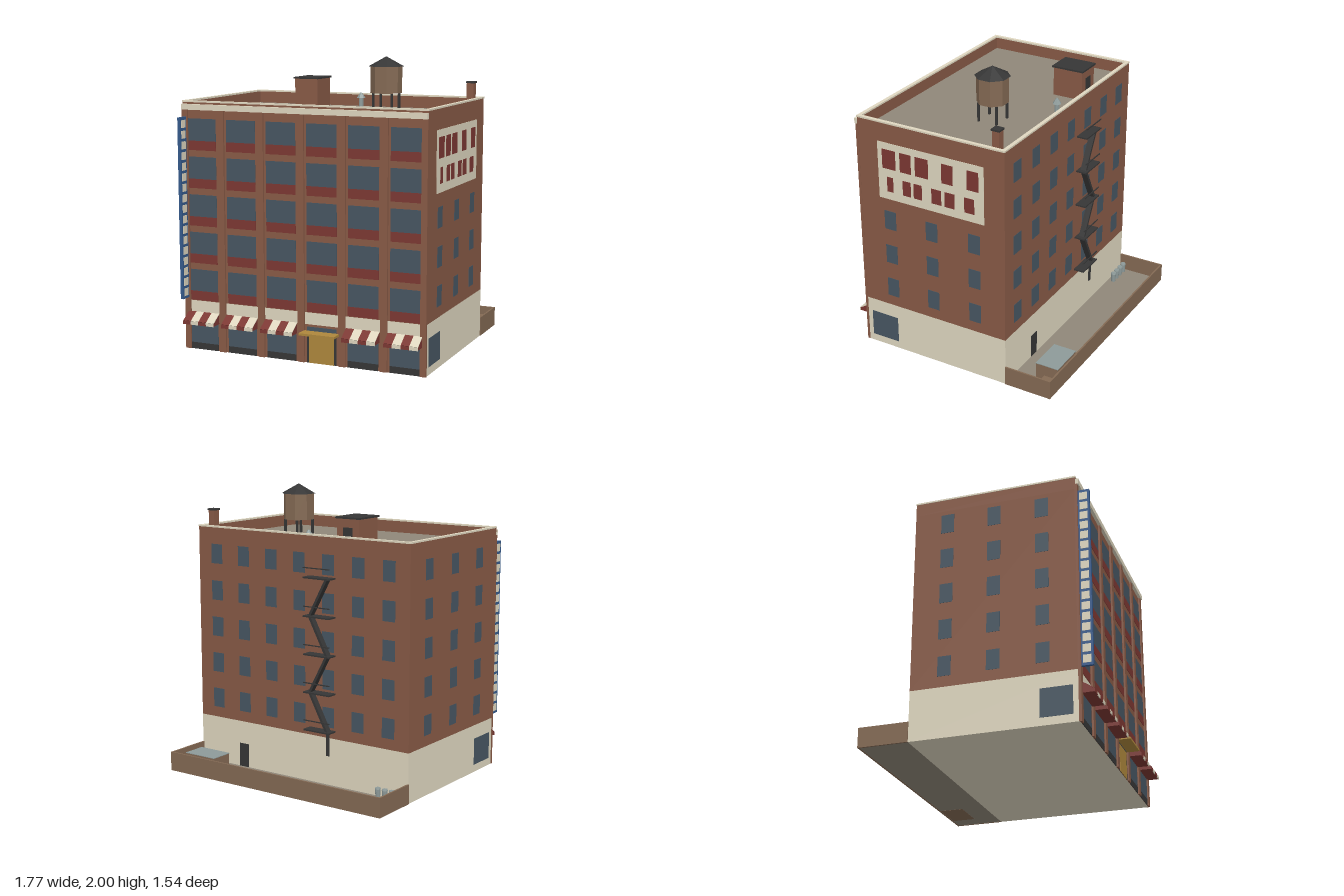
import * as THREE from 'three';

const mat = (name, color) => new THREE.MeshStandardMaterial({ name, color });

export function createModel() {
  const brick = mat('brick', 0x885a46);
  const red = mat('dark red', 0x7c3833);
  const cream = mat('cream', 0xdfd7c0);
  const glass = mat('window glass', 0x475662);
  const roofGrey = mat('roof grey', 0x8f8779);
  const dark = mat('dark metal', 0x363636);
  const blue = mat('sign blue', 0x355a8c);
  const gold = mat('door gold', 0xae873c);
  const wood = mat('weathered wood', 0x846a54);
  const steel = mat('pale steel', 0x8d9a99);

  const model = new THREE.Group();
  model.name = 'cornerBuilding';
  const group = (name) => {
    const g = new THREE.Group();
    g.name = name;
    model.add(g);
    return g;
  };
  const add = (parent, name, geo, m) => {
    const mesh = new THREE.Mesh(geo, m);
    mesh.name = name;
    parent.add(mesh);
    return mesh;
  };
  // Box given by its extents
  const box = (parent, name, m, x0, x1, y0, y1, z0, z1) => {
    const mesh = add(parent, name, new THREE.BoxGeometry(Math.abs(x1 - x0), y1 - y0, Math.abs(z1 - z0)), m);
    mesh.position.set((x0 + x1) / 2, (y0 + y1) / 2, (z0 + z1) / 2);
    return mesh;
  };
  // Flat sided cylinder between two heights
  const drum = (parent, name, m, rTop, rBottom, y0, y1, x, z, sides, turn = 0) => {
    const geo = new THREE.CylinderGeometry(rTop, rBottom, y1 - y0, sides);
    geo.rotateY(turn);
    const mesh = add(parent, name, geo.toNonIndexed(), m);
    mesh.geometry.computeVertexNormals();
    mesh.position.set(x, (y0 + y1) / 2, z);
    return mesh;
  };
  const W = 0.88, BACK = -0.431, FRONT = 0.68, ROOF = 1.62, PITCH = 0.2585;

  // Main body
  const body = group('body');
  box(body, 'groundFloor', cream, -W, W, 0, 0.341, BACK, FRONT);
  box(body, 'upperFloors', brick, -W, W, 0.341, ROOF - 0.004, BACK, FRONT);
  box(body, 'roofDeck', roofGrey, -W + 0.01, W - 0.01, ROOF - 0.004, ROOF, BACK + 0.01, FRONT - 0.01);

  // Parapet and its coping
  const rim = (name, m, t, o, y0, y1) => {
    for (const s of [-1, 1]) box(body, name, m, s * (W + o), s * (W + o - t), y0, y1, BACK - o, FRONT + o);
    box(body, name, m, -W, W, y0, y1, BACK - o, BACK - o + t);
    box(body, name, m, -W, W, y0, y1, FRONT + o - t, FRONT + o);
  };
  rim('parapet', brick, 0.022, 0, ROOF - 0.004, 1.702);
  rim('coping', cream, 0.026, 0.003, 1.702, 1.713);
  box(body, 'cornice', cream, -W, W, 1.652, 1.69, FRONT, 0.702);

  // Front piers
  const facade = group('frontFacade');
  for (let i = -3; i <= 3; i++) {
    const x = Math.abs(i) === 3 ? Math.sign(i) * 0.861 : i * 0.295;
    const h = Math.abs(i) === 3 ? 0.021 : 0.024;
    box(facade, 'pier', brick, x - h, x + h, 0, 1.652, FRONT - 0.005, 0.693);
  }

  // Front bays: windows, spandrels and shopfronts
  const awnings = group('awnings');
  for (let i = 0; i < 6; i++) {
    const x = (i - 2.5) * 0.295, h = 0.108;
    const xa = Math.max(x - h, -0.84), xb = Math.min(x + h, 0.84);
    for (let f = 0; f < 5; f++) {
      const y = 0.345 + f * PITCH;
      box(facade, 'spandrel', red, xa, xb, y, y + 0.064, FRONT, FRONT + 0.003);
      box(facade, 'frontWindow', glass, xa, xb, y + 0.064, y + 0.214, FRONT, FRONT + 0.002);
    }
    box(facade, 'shopSurround', brick, x - 0.123, x + 0.123, 0, 0.26, FRONT, FRONT + 0.002);
    if (i === 3) {
      // Entrance
      box(facade, 'entranceFrame', dark, x - h, x + h, 0, 0.2, FRONT, FRONT + 0.004);
      box(facade, 'transom', glass, x - h, x + h, 0.2, 0.245, FRONT, FRONT + 0.004);
      box(facade, 'entranceDoor', gold, x - 0.09, x + 0.09, 0, 0.19, FRONT, FRONT + 0.007);
      box(facade, 'entranceCanopy', gold, x - 0.128, x + 0.128, 0.203, 0.218, FRONT, 0.77);
      continue;
    }
    box(facade, 'shopBase', dark, xa, xb, 0, 0.045, FRONT, FRONT + 0.005);
    box(facade, 'shopWindow', glass, xa, xb, 0.045, 0.25, FRONT, FRONT + 0.004);

    // Awning: wedge with striped slope and valance
    const wedge = new THREE.Shape([[-0.688, 0.262], [-0.766, 0.212], [-0.766, 0.192], [-0.688, 0.192]]
      .map(([a, b]) => new THREE.Vector2(a, b)));
    const geo = new THREE.ExtrudeGeometry(wedge, { depth: 0.234, bevelEnabled: false });
    geo.rotateY(Math.PI / 2);
    add(awnings, 'awningBody', geo, red).position.x = x - 0.117;
    for (let k = 0; k < 4; k++) {
      const m = k % 2 ? cream : red, x0 = x - 0.118 + k * 0.059;
      box(awnings, 'valanceStripe', m, x0, x0 + 0.059, 0.19, 0.213, 0.766, 0.771);
      const slope = box(awnings, 'slopeStripe', m, x0, x0 + 0.059, 0.236, 0.241, 0.681, 0.774);
      slope.rotation.x = Math.atan2(0.05, 0.078);
    }
  }

  // Side windows: five rows on one side, three below the painted wall on the other
  const sides = group('sideWalls');
  const sidePlate = (name, m, s, z0, z1, y0, y1, t = 0.002) =>
    box(sides, name, m, s * (W - 0.002), s * (W + t), y0, y1, z0, z1);
  for (const s of [-1, 1]) {
    for (const z of [0.45, 0.124, -0.202]) {
      for (let f = 0; f < (s > 0 ? 3 : 5); f++) {
        sidePlate('sideWindow', glass, s, z - 0.045, z + 0.045, 0.415 + f * PITCH, 0.552 + f * PITCH);
      }
    }
    sidePlate('sideShopWindow', glass, s, 0.428, 0.64, 0.053, 0.243);
  }
  sidePlate('paintedPanel', cream, 1, -0.281, 0.527, 1.16, 1.568);
  for (const [a, b] of [[0.388, 0.492], [0.268, 0.354], [0.135, 0.236], [-0.051, 0.034], [-0.242, -0.156]])
    sidePlate('paintedBlock', red, 1, a, b, 1.383, 1.52, 0.004);
  for (const [a, b] of [[0.412, 0.46], [0.274, 0.337], [0.188, 0.252], [0.04, 0.114], [-0.061, 0.013], [-0.209, -0.135]])
    sidePlate('paintedBlock', red, 1, a, b, 1.218, 1.324, 0.004);

  // Back windows and door
  const rear = group('backWall');
  for (let c = -3; c <= 3; c++) for (let f = 0; f < 5; f++) {
    const x = c * 0.24, y = 0.415 + f * PITCH;
    box(rear, 'backWindow', glass, x - 0.048, x + 0.048, y, y + 0.137, BACK - 0.002, BACK);
  }
  box(rear, 'backDoor', dark, 0.455, 0.535, 0.01, 0.18, BACK - 0.002, BACK);

  // Fire escape: landings, rails and zigzag flights
  const escape = group('fireEscape');
  const landing = (f) => 0.393 + f * 0.2595;
  for (let f = 0; f < 5; f++) {
    const y = landing(f);
    box(escape, 'landing', dark, -0.3, -0.087, y - 0.005, y + 0.005, -0.508, BACK);
    box(escape, 'handrail', dark, -0.3, -0.087, y + 0.063, y + 0.07, -0.506, -0.5);
    if (f === 4) continue;
    const dx = f % 2 ? -0.14 : 0.14, dy = landing(f + 1) - y;
    const flight = add(escape, 'flight', new THREE.BoxGeometry(Math.hypot(dx, dy), 0.018, 0.042), dark);
    flight.position.set(-0.195, y + dy / 2, -0.469);
    flight.rotation.z = Math.atan2(dy, dx);
  }
  box(escape, 'dropLadder', dark, -0.275, -0.25, 0.228, landing(0), -0.473, -0.465);

  // Blade sign with lit cells on both faces
  const sign = group('bladeSign');
  box(sign, 'signBoard', blue, -0.871, -0.85, 0.362, 1.604, 0.69, 0.77);
  for (let k = 0; k < 17; k++) {
    const y = 0.38 + k * 0.072;
    box(sign, 'signCell', cream, -0.873, -0.848, y, y + 0.053, 0.704, 0.757);
  }

  // Water tank
  const tank = group('waterTank'), tx = 0.317, tz = -0.011, turn = Math.PI / 8;
  drum(tank, 'tankBarrel', wood, 0.109, 0.109, 1.752, 1.935, tx, tz, 8, turn);
  drum(tank, 'tankRoof', dark, 0.001, 0.121, 1.933, 2, tx, tz, 8, turn);
  for (const a of [-1, 1]) for (const b of [-1, 1]) {
    const x = tx + a * 0.068, z = tz + b * 0.068;
    box(tank, 'tankLeg', dark, x - 0.007, x + 0.007, ROOF, 1.752, z - 0.007, z + 0.007);
  }

  // Stair house, chimney and roof vent
  const roof = group('rooftop');
  box(roof, 'stairHouse', brick, -0.442, -0.266, ROOF, 1.822, -0.368, -0.15);
  box(roof, 'stairHouseRoof', dark, -0.45, -0.258, 1.822, 1.834, -0.377, -0.141);
  box(roof, 'stairHouseDoor', dark, -0.39, -0.318, ROOF, 1.765, -0.371, -0.368);
  box(roof, 'chimney', brick, 0.791, 0.841, ROOF, 1.812, -0.371, -0.321);
  box(roof, 'chimneyCap', dark, 0.786, 0.847, 1.812, 1.824, -0.377, -0.315);
  drum(roof, 'ventPipe', steel, 0.018, 0.018, ROOF, 1.69, 0, -0.32, 8);
  drum(roof, 'ventHood', steel, 0.006, 0.032, 1.685, 1.724, 0, -0.32, 6);

  // Rear yard with wall, bin, crate and cans
  const yard = group('rearYard');
  box(yard, 'yardFloor', roofGrey, -W, W, 0.001, 0.012, -0.765, BACK);
  box(yard, 'yardBackWall', wood, -0.885, 0.885, 0, 0.134, -0.772, -0.76);
  for (const s of [-1, 1]) box(yard, 'yardSideWall', wood, s * 0.885, s * 0.873, 0, 0.134, -0.76, BACK);
  box(yard, 'binBody', wood, 0.5, 0.752, 0, 0.145, -0.757, -0.594);
  box(yard, 'binLid', steel, 0.497, 0.755, 0.145, 0.149, -0.759, -0.592);
  box(yard, 'crate', wood, 0.768, 0.838, 0.012, 0.08, -0.735, -0.665);
  for (let k = 0; k < 4; k++) {
    const x = -0.835 + k * 0.055;
    drum(yard, 'trashCan', steel, 0.019, 0.016, 0.012, 0.075, x, -0.472, 10);
    drum(yard, 'trashCanLid', steel, 0.018, 0.021, 0.075, 0.084, x, -0.472, 10);
  }
  return model;
}
